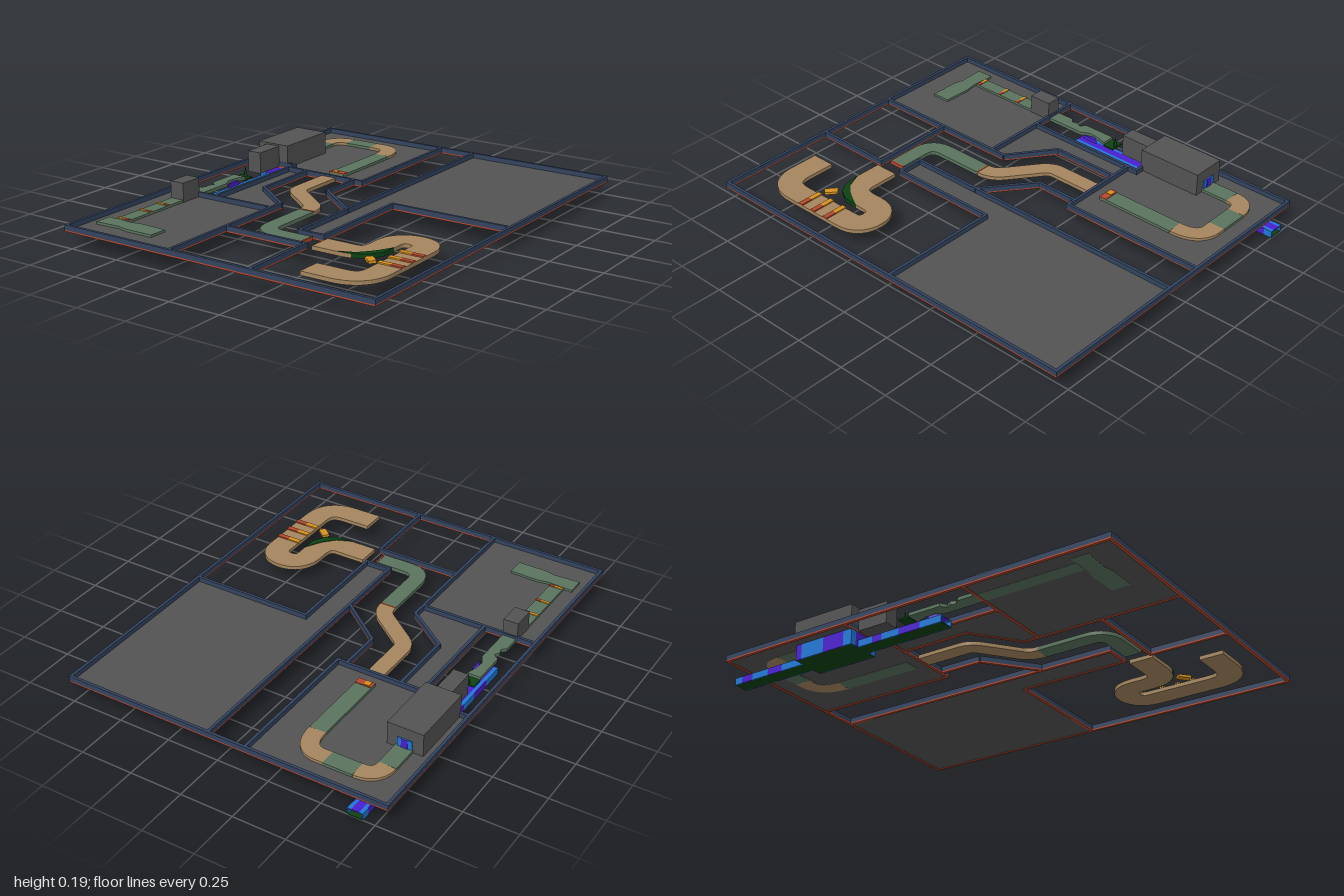
import * as THREE from 'three';

export function createModel() {
  const root = new THREE.Group();
  root.name = 'trackFloorPlan';
  const mat = (name, color) => Object.assign(new THREE.MeshStandardMaterial({ color }), { name });
  const gray = mat('charcoal', 0x535353), brown = mat('sandBrown', 0xa5865f), green = mat('mossGreen', 0x5a735e);
  const navy = mat('navy', 0x33435f), rust = mat('rust', 0xb5492f), blue = mat('blue', 0x1f78d6);
  const violet = mat('violet', 0x4a1fd0), darkGreen = mat('darkGreen', 0x0c4212), orange = mat('orange', 0xd8921f);

  const add = (name, geo, material, parent = root) => {
    const m = new THREE.Mesh(geo, material);
    m.name = name;
    parent.add(m);
    return m;
  };
  // box given by its limits on each axis
  const box = (name, material, x0, x1, y0, y1, z0, z1, parent) => {
    const m = add(name, new THREE.BoxGeometry(x1 - x0, y1 - y0, z1 - z0), material, parent);
    m.position.set((x0 + x1) / 2, (y0 + y1) / 2, (z0 + z1) / 2);
    return m;
  };
  // flat slab from an outline of [x, z] points
  const slab = (name, material, pts, y0, y1, parent) => {
    const shape = new THREE.Shape(pts.map(([x, z]) => new THREE.Vector2(x, -z)));
    const geo = new THREE.ExtrudeGeometry(shape, { depth: y1 - y0, bevelEnabled: false });
    geo.rotateX(-Math.PI / 2).translate(0, y0, 0);
    return add(name, geo, material, parent);
  };
  // track of constant width; path items are [x, z] lines or [cx, cz, x, z] curves
  const track = (name, material, width, start, ...steps) => {
    let prev = new THREE.Vector2(...start);
    const line = [prev];
    for (const s of steps) {
      const end = new THREE.Vector2(...s.slice(-2));
      if (s.length === 2) line.push(end);
      else {
        const c = new THREE.QuadraticBezierCurve(prev, new THREE.Vector2(s[0], s[1]), end);
        line.push(...c.getPoints(10).slice(1));
      }
      prev = end;
    }
    const left = [], right = [];
    line.forEach((p, i) => {
      const t = line[Math.min(i + 1, line.length - 1)].clone().sub(line[Math.max(i - 1, 0)]).normalize();
      const w = width / 2;
      left.push([p.x + t.y * w, p.y - t.x * w]);
      right.unshift([p.x - t.y * w, p.y + t.x * w]);
    });
    return slab(name, material, [...left, ...right], 0.072, 0.09);
  };

  // walls: navy body on a rust base, along polylines
  const walls = new THREE.Group();
  walls.name = 'walls';
  root.add(walls);
  const T = 0.014;
  const wall = (...pts) => {
    for (let i = 0; i + 1 < pts.length; i++) {
      const [x0, z0] = pts[i], [x1, z1] = pts[i + 1];
      const len = Math.hypot(x1 - x0, z1 - z0) + T * 0.9;
      for (const [n, m, y0, y1] of [['wallBase', rust, 0.07, 0.077], ['wall', navy, 0.077, 0.1]]) {
        const w = add(n, new THREE.BoxGeometry(len, y1 - y0, T), m, walls);
        w.position.set((x0 + x1) / 2, (y0 + y1) / 2, (z0 + z1) / 2);
        w.rotation.y = -Math.atan2(z1 - z0, x1 - x0);
      }
    }
  };
  wall([-0.785, -0.967], [0.785, -0.967], [0.785, 0.99], [-0.785, 0.99], [-0.785, -0.967]);
  wall([-0.115, -0.967], [-0.115, -0.26], [-0.53, -0.26]);
  wall([-0.785, -0.31], [-0.535, -0.31], [-0.535, 0.3]);
  wall([-0.785, 0.3], [-0.222, 0.3]);
  wall([-0.43, -0.26], [-0.43, 0.07], [-0.222, 0.225], [-0.222, 0.99]);
  wall([-0.16, -0.26], [-0.16, -0.05], [0.068, 0.13]);
  wall([0.068, -0.967], [0.068, 0.483], [0.192, 0.483], [0.192, -0.047], [0.785, -0.047]);
  wall([-0.222, 0.612], [0.192, 0.612], [0.192, 0.99]);

  // room floors
  slab('westFloor', gray, [[-0.785, -0.967], [-0.115, -0.967], [-0.115, -0.26], [-0.43, -0.26], [-0.43, 0.07],
    [-0.222, 0.225], [-0.222, 0.99], [-0.785, 0.99], [-0.785, 0.3], [-0.535, 0.3], [-0.535, -0.31], [-0.785, -0.31]], 0.073, 0.077);
  slab('eastFloor', gray, [[0.068, -0.967], [0.785, -0.967], [0.785, -0.047], [0.192, -0.047], [0.192, 0.483],
    [0.068, 0.483]], 0.073, 0.077);

  // looping track in the back room
  track('trackStraight', green, 0.082, [-0.658, -0.62], [-0.658, -0.755]);
  track('trackBend', brown, 0.082, [-0.658, -0.755], [-0.658, -0.838, -0.57, -0.838]);
  track('trackStraight', green, 0.082, [-0.57, -0.838], [-0.43, -0.838]);
  track('trackBend', brown, 0.08, [-0.43, -0.838], [-0.38, -0.838], [-0.3, -0.825, -0.3, -0.71]);
  track('trackStraight', green, 0.08, [-0.3, -0.71], [-0.3, -0.32]);
  box('startMarkerRed', rust, -0.34, -0.26, 0.09, 0.094, -0.355, -0.32);
  box('startMarkerOrange', orange, -0.328, -0.3, 0.09, 0.097, -0.352, -0.323);

  // middle corridor track
  track('corridorTrack', brown, 0.078, [-0.3, -0.26], [-0.3, -0.04], [-0.3, 0.0, -0.26, 0.03], [-0.125, 0.133],
    [-0.08, 0.165, -0.08, 0.225]);
  track('corridorTrackEnd', green, 0.078, [-0.08, 0.225], [-0.08, 0.46], [-0.08, 0.547, 0.005, 0.547], [0.153, 0.547]);
  box('corridorEndStrip', rust, 0.15, 0.158, 0.075, 0.092, 0.508, 0.586);
  box('corridorJointStrip', rust, -0.119, -0.041, 0.09, 0.092, 0.222, 0.228);

  // hairpin track in the front-left room
  track('hairpinTrack', brown, 0.115, [0.22, 0.548], [0.36, 0.548], [0.457, 0.548, 0.457, 0.44], [0.457, 0.39],
    [0.46, 0.31, 0.54, 0.307], [0.62, 0.31, 0.62, 0.39], [0.62, 0.7], [0.62, 0.822, 0.5, 0.822], [0.36, 0.822]);
  slab('hairpinKerb', darkGreen, [[0.35, 0.605], [0.42, 0.575], [0.47, 0.52], [0.515, 0.44], [0.512, 0.51],
    [0.48, 0.565], [0.43, 0.597]], 0.074, 0.093);
  for (const z of [0.465, 0.545, 0.622]) {
    box('rumbleStripOrange', orange, 0.56, 0.62, 0.09, 0.096, z - 0.012, z + 0.012);
    box('rumbleStripRed', rust, 0.62, 0.678, 0.09, 0.096, z - 0.012, z + 0.012);
  }
  const marker = box('looseMarker', orange, 0.48, 0.54, 0.08, 0.092, 0.588, 0.622);
  marker.rotation.y = -0.7;

  // narrow track and its end bar in the front-right room
  box('narrowTrack', green, -0.695, -0.628, 0.072, 0.088, 0.3, 0.78);
  slab('trackEndBar', green, [[-0.735, 0.778], [-0.61, 0.785], [-0.56, 0.775], [-0.42, 0.78], [-0.42, 0.868],
    [-0.56, 0.868], [-0.61, 0.856], [-0.735, 0.862]], 0.072, 0.088);
  for (const z of [0.51, 0.626, 0.766]) {
    box('trackStripeOrange', orange, -0.695, -0.655, 0.088, 0.092, z - 0.007, z + 0.007);
    box('trackStripeRed', rust, -0.655, -0.628, 0.088, 0.092, z - 0.007, z + 0.007);
  }

  // broken bridge
  slab('brokenBridge', green, [[-0.695, -0.04], [-0.63, -0.04], [-0.645, 0.01], [-0.65, 0.06], [-0.628, 0.1],
    [-0.628, 0.3], [-0.695, 0.3], [-0.695, 0.21], [-0.675, 0.19], [-0.682, 0.165], [-0.668, 0.14],
    [-0.695, 0.12]], 0.072, 0.088);
  const spike = add('bridgeSpike', new THREE.ConeGeometry(0.012, 0.05, 4), darkGreen);
  spike.position.set(-0.66, 0.098, -0.085);
  box('bridgeSplinter', darkGreen, -0.695, -0.628, 0.068, 0.075, -0.095, -0.04);
  slab('bridgeShard', violet, [[-0.648, 0.03], [-0.63, 0.005], [-0.63, 0.085]], 0.06, 0.08);

  // covered buildings
  box('largeHouse', gray, -0.745, -0.575, 0.075, 0.185, -0.62, -0.305);
  box('smallHouse', gray, -0.697, -0.625, 0.075, 0.177, -0.305, -0.155);
  box('gateHouse', gray, -0.697, -0.625, 0.075, 0.167, 0.3, 0.412);
  box('doorway', blue, -0.695, -0.625, 0.09, 0.132, -0.625, -0.62);
  box('doorwayPanel', violet, -0.675, -0.645, 0.09, 0.132, -0.628, -0.625);

  // open-ended tunnel beneath, split into blue and violet lengths
  const tunnel = new THREE.Group();
  tunnel.name = 'tunnel';
  root.add(tunnel);
  const tunnelRun = (x0, x1, top, cuts) => {
    const t = 0.005;
    for (let i = 0; i + 1 < cuts.length; i++) {
      const m = i % 2 ? violet : blue, a = cuts[i + 1], b = cuts[i];
      box('tunnelSide', m, x0, x0 + t, 0, top, a, b, tunnel);
      box('tunnelSide', m, x1 - t, x1, 0, top, a, b, tunnel);
    }
    const z0 = cuts[cuts.length - 1], z1 = cuts[0], w = (x1 - x0) / 4;
    box('tunnelRoof', blue, x0 + t, x0 + w, top - t, top, z0, z1, tunnel);
    box('tunnelRoof', violet, x0 + w, x1 - w, top - t, top, z0, z1, tunnel);
    box('tunnelRoof', blue, x1 - w, x1 - t, top - t, top, z0, z1, tunnel);
    box('tunnelFloor', darkGreen, x0 + t, x1 - t, 0, 0.003, z0, z1, tunnel);
  };
  tunnelRun(-0.695, -0.622, 0.033, [0.13, 0.02, -0.09, -0.18, -0.23, -0.305]);
  tunnelRun(-0.74, -0.577, 0.072, [-0.305, -0.35, -0.46, -0.58, -0.61]);
  tunnelRun(-0.695, -0.622, 0.033, [-0.61, -0.73, -0.81, -0.9, -0.96, -1]);
  // end walls of the wide chamber around the opening
  for (const z of [-0.61, -0.31]) {
    box('chamberEnd', blue, -0.735, -0.71, 0, 0.067, z, z + 0.005, tunnel);
    box('chamberEnd', violet, -0.71, -0.695, 0, 0.067, z, z + 0.005, tunnel);
    box('chamberEnd', violet, -0.695, -0.622, 0.033, 0.067, z, z + 0.005, tunnel);
    box('chamberEnd', violet, -0.622, -0.607, 0, 0.067, z, z + 0.005, tunnel);
    box('chamberEnd', blue, -0.607, -0.582, 0, 0.067, z, z + 0.005, tunnel);
  }
  return root;
}
